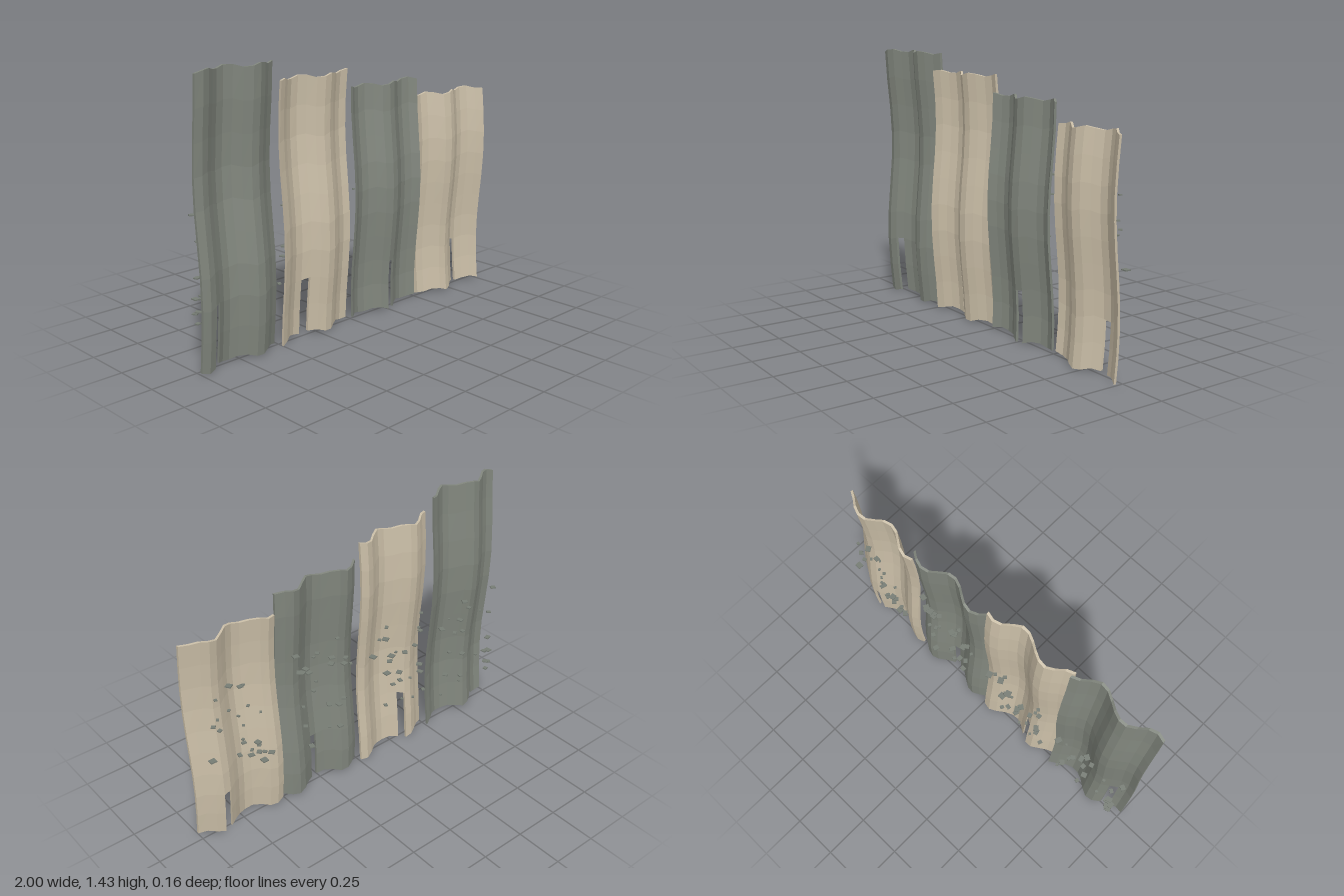
import * as THREE from 'three';

const material = (name, color, flat = true) =>
  Object.assign(new THREE.MeshStandardMaterial({ color, flatShading: flat }), { name });

const COLS = 12, ROWS = 9, WIDTH = 0.49, THICK = 0.014;

// Corrugated sheet: crest = x of the front ridge, sway = height where it bulges forward
function sheetGeometry({ x, height, slot, crest, sway }) {
  const point = (c, r, side) => {
    const u = (c / COLS - 0.5) * WIDTH, v = r / ROWS;
    const y = 0.01 + v * (height - 0.02) + 0.009 * Math.sin((u + x) * 41 + v * 2);
    const z = 0.015 + 0.037 * Math.cos((u - crest) * Math.PI * 2 / 0.315)
      + 0.018 * Math.cos((y - sway) * Math.PI * 2 / 1.1) + side * THICK / 2;
    return [u, y, z];
  };
  const positions = [];
  const quad = (a, b, c, d) => positions.push(...a, ...b, ...c, ...a, ...c, ...d);
  // The notch is one column wide and two rows high
  const solid = (c, r) => c >= 0 && c < COLS && r >= 0 && r < ROWS && !(c === slot && r < 2);

  for (let c = 0; c < COLS; c++) {
    for (let r = 0; r < ROWS; r++) {
      if (!solid(c, r)) continue;
      const corners = [[c, r], [c + 1, r], [c + 1, r + 1], [c, r + 1]];
      const front = corners.map(([i, j]) => point(i, j, 1));
      const back = corners.map(([i, j]) => point(i, j, -1));
      quad(...front);
      quad(back[1], back[0], back[3], back[2]);
      // Rim walls wherever the neighbouring cell is empty
      [[c, r - 1], [c + 1, r], [c, r + 1], [c - 1, r]].forEach(([i, j], k) => {
        const n = (k + 1) % 4;
        if (!solid(i, j)) quad(back[k], back[n], front[n], front[k]);
      });
    }
  }
  const geometry = new THREE.BufferGeometry();
  geometry.setAttribute('position', new THREE.Float32BufferAttribute(positions, 3));
  geometry.computeVertexNormals();
  return geometry;
}

export function createModel() {
  const model = new THREE.Group();
  model.name = 'corrugatedFence';
  const grey = material('weatheredGrey', 0x80857c);
  const beige = material('fadedBeige', 0xc9bda6);
  const chip = material('chipGrey', 0x767c74);

  let seed = 17;
  const random = () => (seed = (seed * 16807) % 2147483647) / 2147483647;
  const range = (a, b) => a + (b - a) * random();
  const chipGeometry = new THREE.BoxGeometry(1, 1, 1);

  const centres = [-0.755, -0.255, 0.25, 0.755];
  const heights = [1.435, 1.34, 1.25, 1.155];
  centres.forEach((x, i) => {
    const panel = new THREE.Group();
    panel.name = `panel${i + 1}`;
    panel.position.x = x;

    const sheet = new THREE.Mesh(sheetGeometry({
      x, height: heights[i], slot: 2 + 2 * i, crest: 0.105 - 0.05 * i, sway: 0.36 + 0.155 * i,
    }), i % 2 ? beige : grey);
    sheet.name = 'corrugatedSheet';
    panel.add(sheet);

    // Small flat chips scattered just behind the sheet
    for (let k = 0; k < 24; k++) {
      const flake = new THREE.Mesh(chipGeometry, chip);
      flake.name = 'chip';
      const size = range(0.012, 0.034);
      flake.scale.set(size, 0.006, size * range(0.75, 1));
      flake.position.set(range(-0.21, 0.21), range(0.19 + 0.05 * i, 0.82 + 0.03 * i), range(-0.064, -0.047));
      flake.rotation.y = range(0, Math.PI);
      panel.add(flake);
    }
    model.add(panel);
  });
  return model;
}
